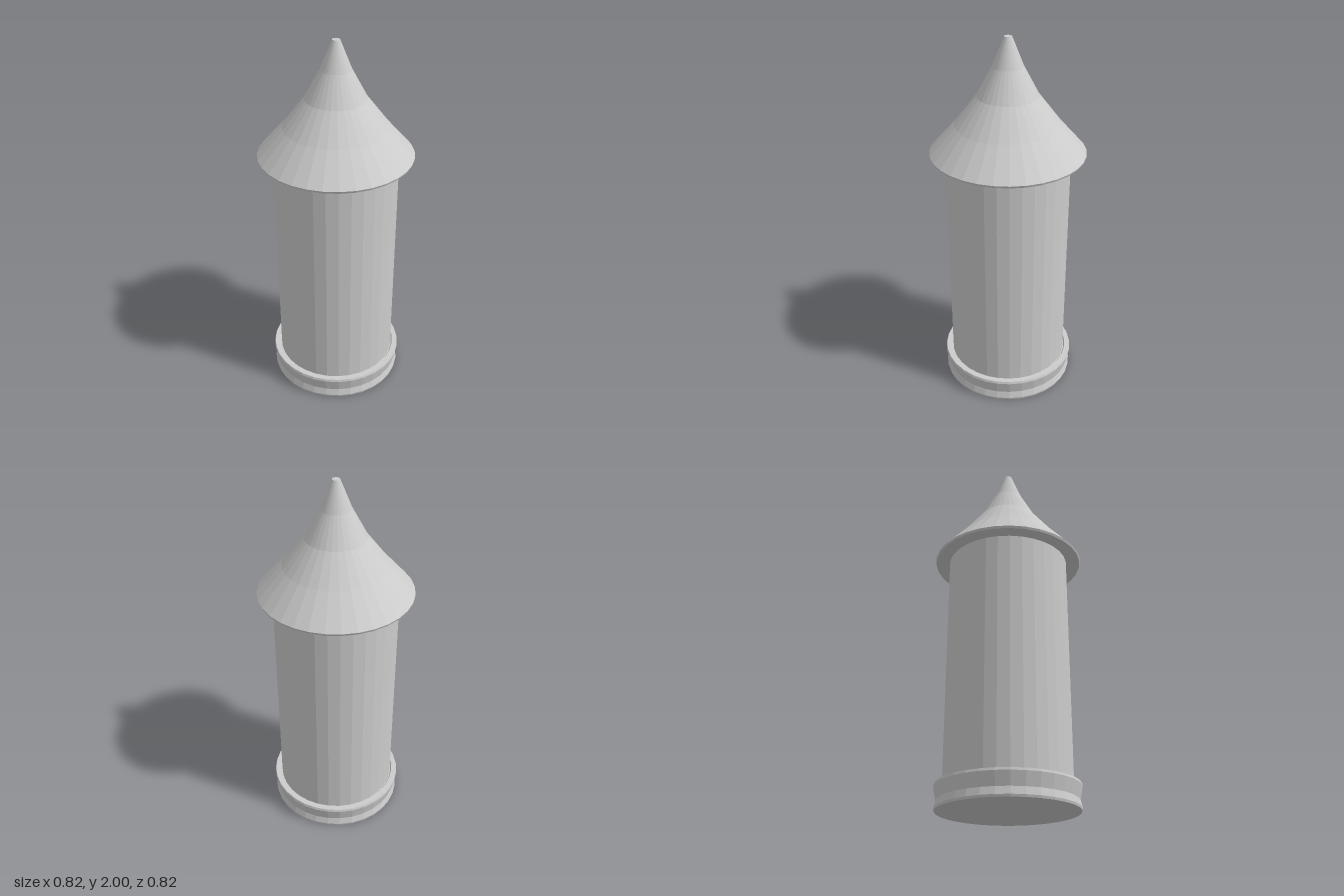
import * as THREE from 'three';

const SIDES = 32;

// Faceted solid of revolution from [radius, height] pairs, bottom to top
function turned(name, profile) {
  const points = profile.map(([r, y]) => new THREE.Vector2(r, y));
  const material = new THREE.MeshStandardMaterial({ color: 0xcccccc, flatShading: true });
  const mesh = new THREE.Mesh(new THREE.LatheGeometry(points, SIDES), material);
  mesh.name = name;
  return mesh;
}

export function createModel() {
  const tower = new THREE.Group();
  tower.name = 'tower';

  // Plinth with a slight waist and a lipped upper rim
  tower.add(turned('base', [
    [0, 0], [0.365, 0], [0.368, 0.012], [0.358, 0.05], [0.366, 0.09],
    [0.372, 0.12], [0.368, 0.133], [0.34, 0.133], [0.335, 0.125], [0, 0.125],
  ]));

  // Straight round shaft
  tower.add(turned('shaft', [[0, 0.1], [0.33, 0.1], [0.33, 1.395], [0, 1.395]]));

  // Concave spire with a thin eave and a blunt tip
  tower.add(turned('roof', [
    [0, 1.385], [0.405, 1.385], [0.41, 1.397], [0.275, 1.55],
    [0.16, 1.7], [0.08, 1.85], [0.02, 2], [0, 2],
  ]));

  return tower;
}
